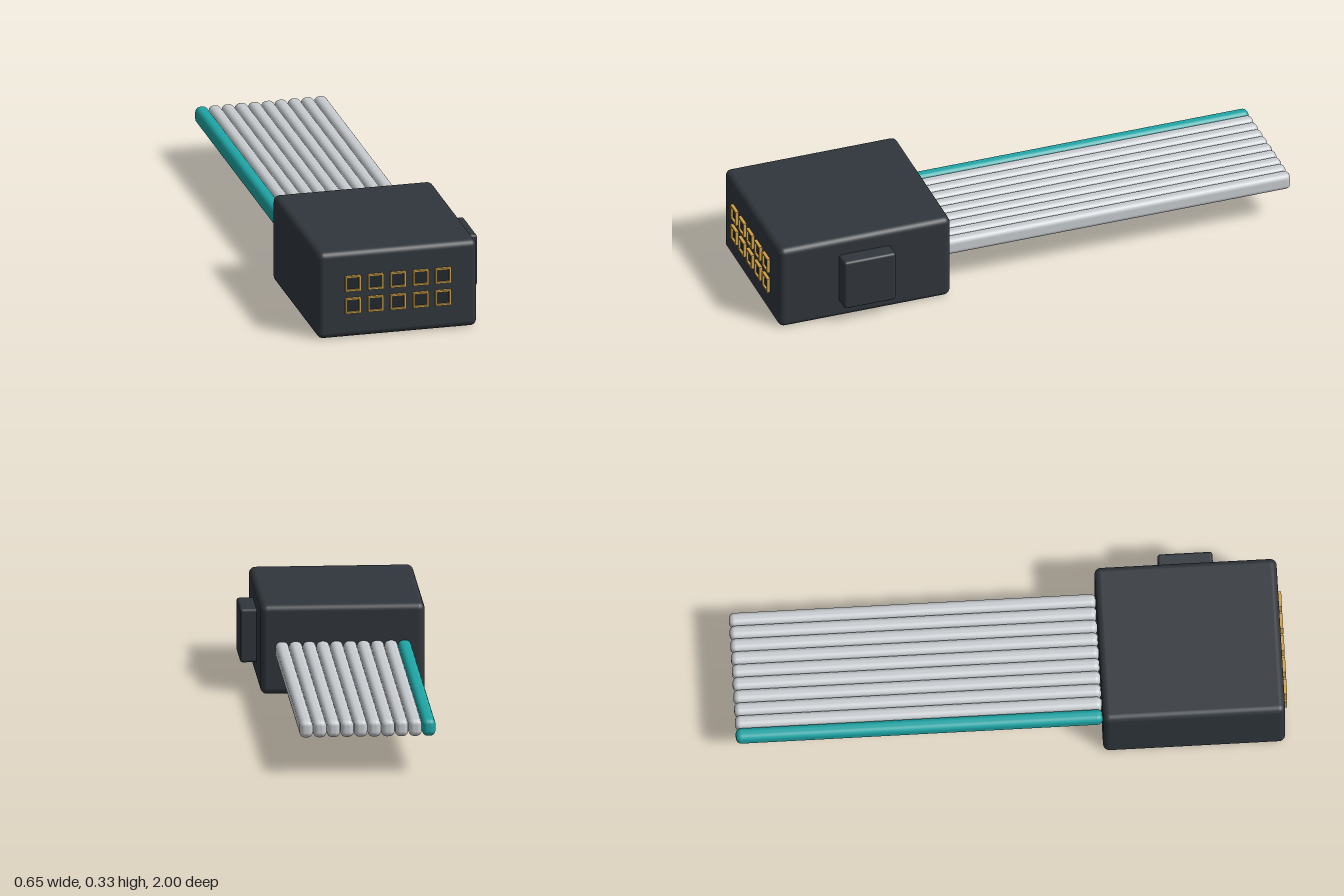
import * as THREE from 'three';
import { RoundedBoxGeometry } from 'three/addons/geometries/RoundedBoxGeometry.js';

const paint = (color) => new THREE.MeshStandardMaterial({ color });

export function createModel() {
  const model = new THREE.Group();
  model.name = 'ribbonCableConnector';
  const black = paint(0x30363c), darker = paint(0x22282d), gold = paint(0xcfa24a);
  const grey = paint(0xc8ccd0), teal = paint(0x1fa5a5);
  const centreX = -0.03;

  function add(name, geometry, material, x, y, z) {
    const mesh = new THREE.Mesh(geometry, material);
    mesh.name = name;
    mesh.position.set(x, y, z);
    model.add(mesh);
  }

  // Housing and the polarising key on its left side
  add('housing', new RoundedBoxGeometry(0.596, 0.332, 0.66, 4, 0.024), black, centreX, 0.166, 0.658);
  add('key', new RoundedBoxGeometry(0.08, 0.199, 0.199, 3, 0.01), black, 0.287, 0.1675, 0.66);

  // Square gold contact frames, each around a dark opening
  const ring = new THREE.Shape();
  const outer = 0.029, inner = 0.0225;
  ring.moveTo(-outer, -outer).lineTo(outer, -outer).lineTo(outer, outer).lineTo(-outer, outer).closePath();
  const hole = new THREE.Path();
  hole.moveTo(-inner, -inner).lineTo(-inner, inner).lineTo(inner, inner).lineTo(inner, -inner).closePath();
  ring.holes.push(hole);
  const frame = new THREE.ExtrudeGeometry(ring, { depth: 0.03, bevelEnabled: false });
  const opening = new THREE.BoxGeometry(inner * 2, inner * 2, 0.02);
  for (const y of [0.125, 0.21]) {
    for (let i = -2; i <= 2; i++) {
      const x = centreX + i * 0.0842;
      add('contactFrame', frame, gold, x, y, 0.97);
      add('contactOpening', opening, darker, x, y, 0.982);
    }
  }

  // Flat ribbon of ten conductors, the first one coloured
  const wire = new RoundedBoxGeometry(0.048, 0.064, 1.33, 4, 0.02);
  for (let i = 0; i < 10; i++) {
    add('wire', wire, i === 0 ? teal : grey, centreX + (i - 4.5) * 0.0494, 0.168, -0.335);
  }
  return model;
}
